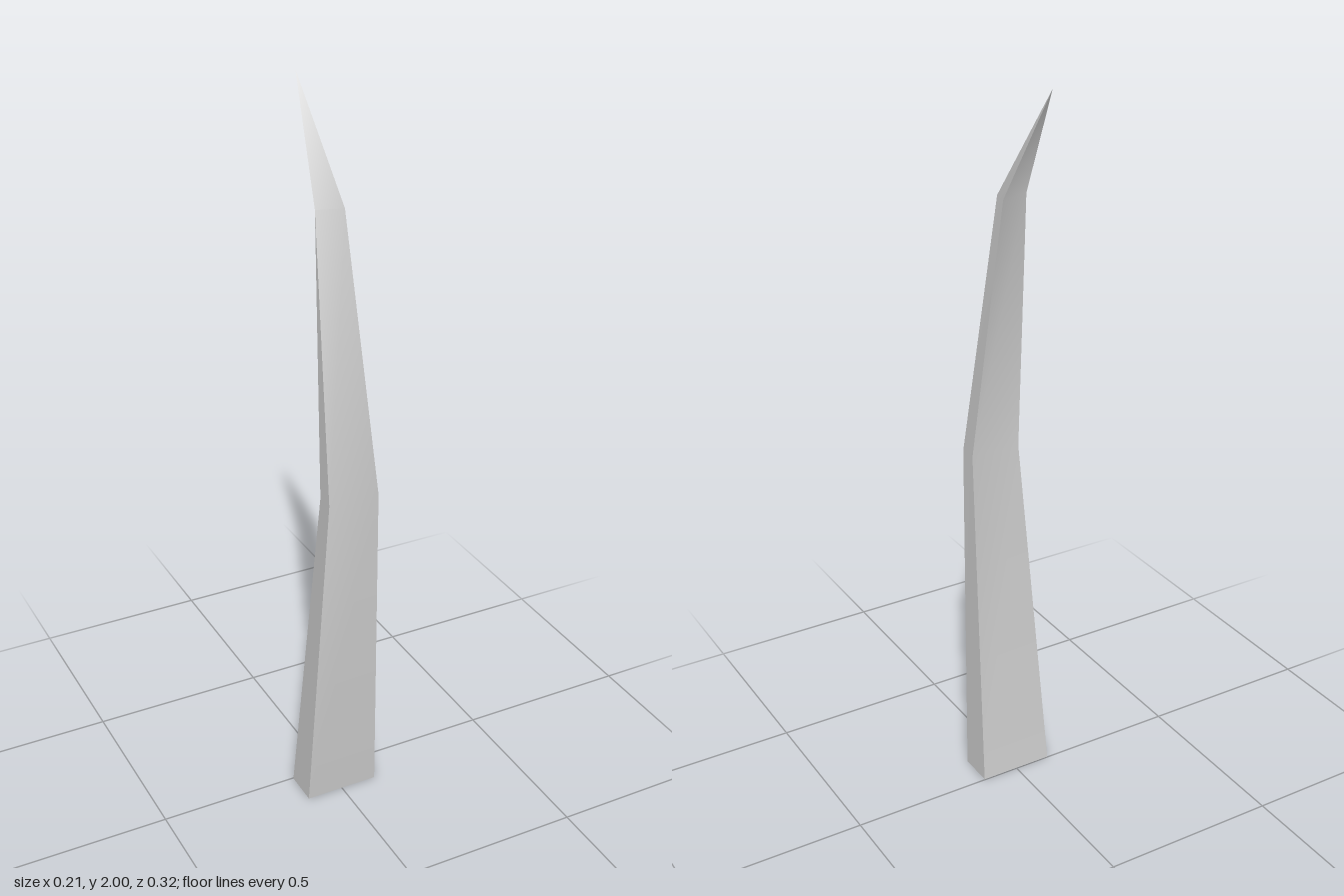
import * as THREE from 'three';

// Cross-sections from root to tip; corners: front left(-x), front right(+x), back right, back left
const P = (x, y, z) => new THREE.Vector3(x, y, z);
const RINGS = [
  [P(-0.105, 0, 0.102), P(0.105, 0, 0.102), P(0.105, 0, 0.002), P(-0.105, 0, 0.002)],
  [P(-0.071, 0.97, 0.16), P(0.071, 0.97, 0.16), P(0.071, 0.97, 0.11), P(-0.071, 0.97, 0.11)],
  // the -x edge closes to a single point here
  [P(-0.035, 1.705, 0.012), P(0.035, 1.705, 0.034), P(0.035, 1.7, 0.005), P(-0.035, 1.705, 0.012)],
  Array.from({ length: 4 }, () => P(0, 2, -0.16)),
];

// One side of the blade: smooth along its length, sharp at its long edges
function sideStrip(a, b) {
  const points = RINGS.flatMap((ring) => [ring[a], ring[b]]);
  const index = [];
  const addFace = (i, j, k) => {
    if (new THREE.Triangle(points[i], points[j], points[k]).getArea() > 1e-6) index.push(i, j, k);
  };
  for (let r = 0; r < RINGS.length - 1; r++) {
    const i = r * 2;
    addFace(i, i + 1, i + 3);
    addFace(i, i + 3, i + 2);
  }
  const geometry = new THREE.BufferGeometry().setFromPoints(points);
  geometry.setIndex(index);
  geometry.computeVertexNormals();
  return geometry;
}

export function createModel() {
  const group = new THREE.Group();
  group.name = 'grassBlade';
  // the root is open, so the inside shows
  const material = new THREE.MeshStandardMaterial({ color: 0xcccccc, side: THREE.DoubleSide });
  ['bladeFront', 'bladeLeftSide', 'bladeBack', 'bladeRightSide'].forEach((name, i) => {
    const mesh = new THREE.Mesh(sideStrip(i, (i + 1) % 4), material);
    mesh.name = name;
    group.add(mesh);
  });
  return group;
}
